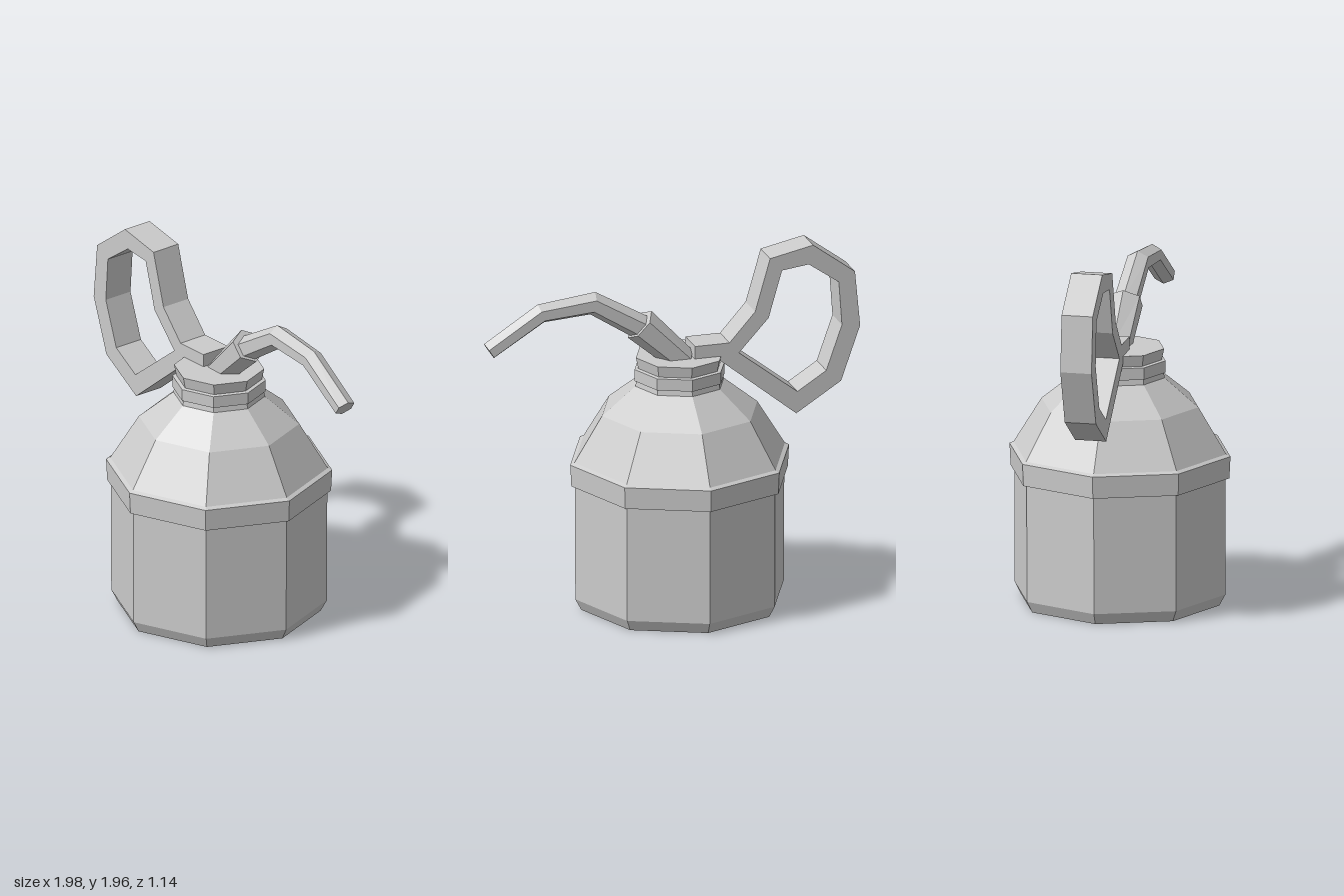
import * as THREE from 'three';

const material = new THREE.MeshStandardMaterial({ color: 0xcccccc, flatShading: true });
const AXIS_X = -0.057; // the can sits slightly off centre

function addMesh(parent, name, geometry) {
  const mesh = new THREE.Mesh(geometry, material);
  mesh.name = name;
  parent.add(mesh);
  return mesh;
}

// Eight-sided turned part from [radius, y] pairs, bottom to top
function octagon(profile) {
  const points = profile.map(([r, y]) => new THREE.Vector2(r, y));
  const geometry = new THREE.LatheGeometry(points, 8, THREE.MathUtils.degToRad(25.5));
  return geometry.translate(AXIS_X, 0, 0);
}

// Mitred sweep along a path in the upright plane z = z0 + slope * x.
// path: [x, y, half height, half width]; section: unit [height, width] pairs
function sweep(path, section, z0, slope) {
  const len = Math.hypot(1, slope);
  const along = new THREE.Vector3(1 / len, 0, slope / len);
  const up = new THREE.Vector3(0, 1, 0);
  const across = along.clone().cross(up);
  const flat = path.map(([x, y]) => new THREE.Vector2(x * len, y));
  const centres = path.map(([x, y]) => new THREE.Vector3(x, y, z0 + slope * x));
  const n = section.length, last = path.length - 1;
  const positions = [], index = [];

  path.forEach(([, , h, w], i) => {
    const before = flat[Math.max(i, 1)].clone().sub(flat[Math.max(i, 1) - 1]).normalize();
    const k = Math.min(i, last - 1);
    const after = flat[k + 1].clone().sub(flat[k]).normalize();
    const t = before.clone().add(after).normalize();
    const mitre = h / t.dot(after);
    const normal = along.clone().multiplyScalar(-t.y).addScaledVector(up, t.x);
    for (const [a, b] of section) {
      const p = centres[i].clone().addScaledVector(normal, a * mitre).addScaledVector(across, b * w);
      positions.push(p.x, p.y, p.z);
    }
  });
  const startCap = positions.length / 3, endCap = startCap + 1;
  positions.push(...centres[0].toArray(), ...centres[last].toArray());

  for (let j = 0; j < n; j++) {
    const k = (j + 1) % n;
    for (let i = 0; i < last; i++) {
      const a = i * n + j, b = i * n + k, c = b + n, d = a + n;
      index.push(a, b, c, a, c, d);
    }
    index.push(startCap, k, j, endCap, last * n + j, last * n + k);
  }
  const geometry = new THREE.BufferGeometry();
  geometry.setAttribute('position', new THREE.Float32BufferAttribute(positions, 3));
  geometry.setIndex(index);
  geometry.computeVertexNormals();
  return geometry;
}

export function createModel() {
  const group = new THREE.Group();
  group.name = 'oilCan';

  // Can: bevelled base, straight wall, raised band and domed shoulder
  addMesh(group, 'body', octagon([[0, 0.008], [0.545, 0.008], [0.578, 0.07], [0.58, 0.72]]));
  addMesh(group, 'band', octagon([[0.57, 0.71], [0.6, 0.71], [0.606, 0.83], [0.575, 0.845]]));
  addMesh(group, 'shoulder', octagon([[0.59, 0.83], [0.43, 1.09], [0.245, 1.24], [0.237, 1.29]]));

  // Neck collar and cap
  addMesh(group, 'collar', octagon([[0.22, 1.265], [0.25, 1.27], [0.25, 1.335], [0.22, 1.34]]));
  addMesh(group, 'cap', octagon([[0.225, 1.32], [0.242, 1.4], [0, 1.4]]));

  // Spout: wide sleeve with a thin bent tube
  const hexagon = Array.from({ length: 6 }, (_, i) => {
    const a = (i * Math.PI) / 3;
    return [Math.cos(a), Math.sin(a)];
  });
  addMesh(group, 'spoutSleeve', sweep([
    [-0.06, 1.37, 0.075, 0.085],
    [0.165, 1.595, 0.095, 0.095],
  ], hexagon, -0.005, 0.36));
  addMesh(group, 'spoutTube', sweep([
    [0.12, 1.555, 0.07, 0.07],
    [0.41, 1.74, 0.06, 0.065],
    [0.68, 1.71, 0.053, 0.06],
    [0.95, 1.525, 0.05, 0.06],
  ], hexagon, -0.005, 0.36));

  // Handle: flat strap looping out from the cap and back to it
  const strap = [[1, 1], [-1, 1], [-1, -1], [1, -1]];
  const loop = [
    [-0.1, 1.435, 0.035], [-0.3, 1.43, 0.04], [-0.455, 1.61, 0.042], [-0.53, 1.885, 0.042],
    [-0.715, 1.92, 0.05], [-0.905, 1.775, 0.047], [-0.927, 1.5, 0.05], [-0.835, 1.225, 0.05],
    [-0.64, 1.095, 0.05], [-0.25, 1.42, 0.045],
  ];
  addMesh(group, 'handle', sweep(loop.map(([x, y, h]) => [x, y, h, 0.085]), strap, -0.003, 0.33));

  return group;
}
